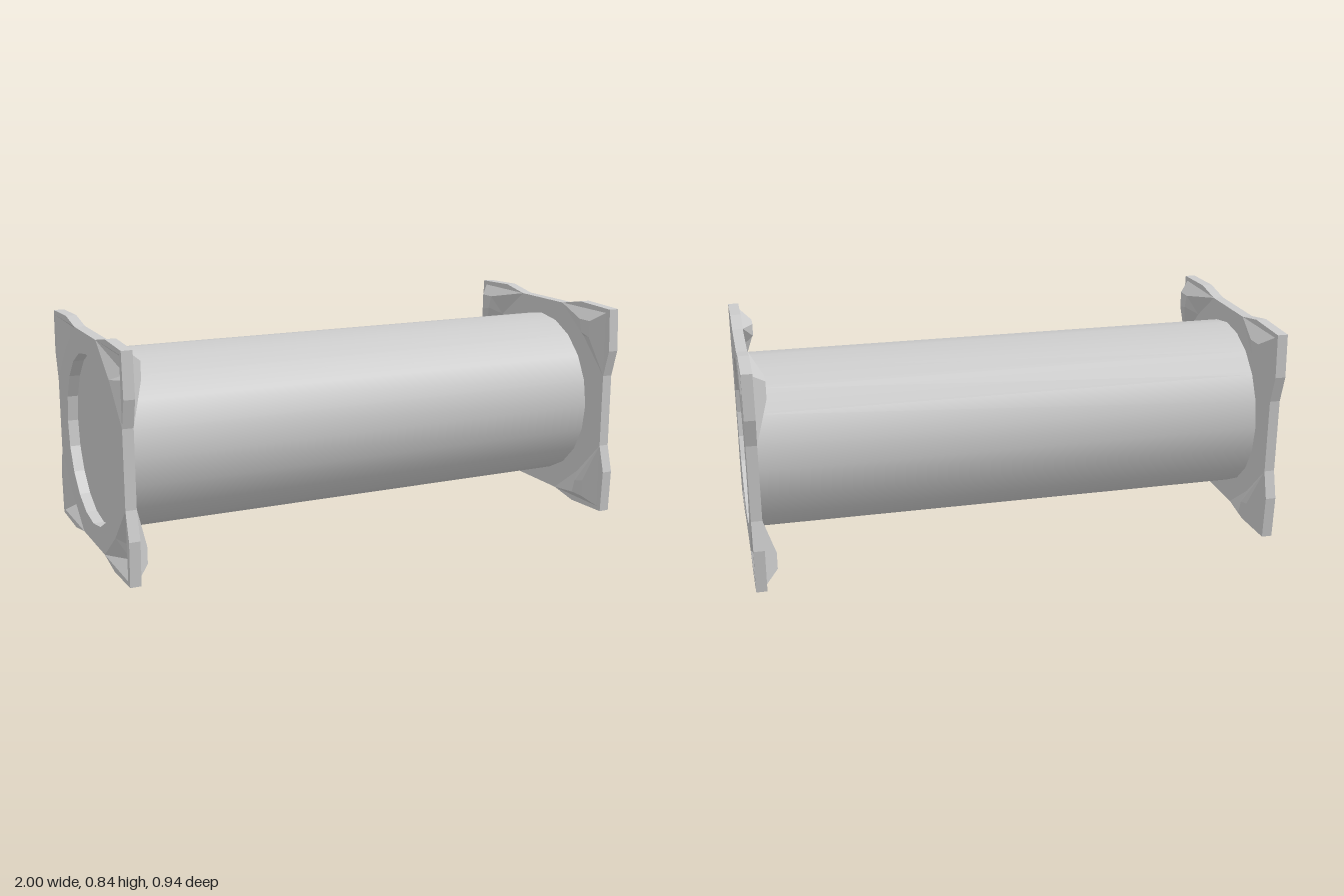
import * as THREE from 'three';
import { mergeGeometries } from 'three/addons/utils/BufferGeometryUtils.js';

const CENTER_Y = 0.4185, OUTER = 1, THICK = 0.04, DENT = 0.045;

// Corner layout, measured from the plate centre (one quadrant)
const A = [0.145, 0.396], K = [0.3, 0.283], B = [0.44, 0.143], C = [0.44, 0.396]; // pocket rim
const P = [0.395, 0.36], Q = [0.33, 0.36], R = [0.345, 0.307], S = [0.395, 0.295]; // pocket floor
const LIP = [[0.27, 0.4185], [0.462, 0.412], [0.47, 0.247]];                      // flared outline
const FLOOR = [P, Q, R, S];
const POCKET_FACES = [[A, Q, P, C], [C, P, S, B], [Q, R, S, P], [A, K, R, Q], [K, B, S, R]];
const QUADRANTS = [[1, 1], [-1, 1], [-1, -1], [1, -1]];

const toShape = (pts) => new THREE.Shape(pts.map(([x, y]) => new THREE.Vector2(x, y)));

function slab(shape) {
  const g = new THREE.ExtrudeGeometry(shape, { depth: THICK, bevelEnabled: false, curveSegments: 10 });
  return g.translate(0, 0, OUTER - THICK);
}

// Dented corner sheet: the outer side is a pocket, the inner side a matching bump
function pocketGeometry(sx, sy) {
  const pos = [];
  for (const [z, facing] of [[OUTER, 1], [OUTER - THICK, -1]]) {
    for (const face of POCKET_FACES) {
      const v = face.map((p) => [p[0] * sx, p[1] * sy, z - (FLOOR.includes(p) ? DENT : 0)]);
      if (sx * sy * facing < 0) v.reverse();
      pos.push(...v[0], ...v[1], ...v[2], ...v[0], ...v[2], ...v[3]);
    }
  }
  const g = new THREE.BufferGeometry();
  g.setAttribute('position', new THREE.Float32BufferAttribute(pos, 3));
  g.computeVertexNormals();
  return g;
}

function createEnd(material) {
  const end = new THREE.Group();
  const add = (name, geometry) => {
    const mesh = new THREE.Mesh(geometry, material);
    mesh.name = name;
    end.add(mesh);
  };

  // Flat middle of the plate with the round opening
  const outline = [];
  for (const [sx, sy] of QUADRANTS) {
    const pts = [B, K, A].map(([x, y]) => [x * sx, y * sy]);
    outline.push(...(sx * sy > 0 ? pts : pts.reverse()));
  }
  const middle = toShape(outline);
  middle.holes.push(new THREE.Path().absarc(0, 0, 0.32, 0, Math.PI * 2, true));
  add('endPlate', slab(middle));

  // Flared lips and dented pockets at the four corners
  const lips = QUADRANTS.map(([sx, sy]) =>
    slab(toShape([A, ...LIP, B, C].map(([x, y]) => [x * sx, y * sy]))));
  add('cornerLips', mergeGeometries(lips));
  add('cornerPockets', mergeGeometries(QUADRANTS.map(([sx, sy]) => pocketGeometry(sx, sy))));
  return end;
}

export function createModel() {
  const model = new THREE.Group();
  model.name = 'spool';
  const material = new THREE.MeshStandardMaterial({ color: 0xcccccc });

  // Smooth barrel; its caps form the floors of the round recesses
  const length = 2 * (OUTER - THICK);
  const barrel = new THREE.Mesh(
    new THREE.CylinderGeometry(0.333, 0.333, length, 20).rotateZ(Math.PI / 2), material);
  barrel.name = 'barrel';
  barrel.position.y = CENTER_Y;
  model.add(barrel);

  // A flange at each end
  for (const side of [1, -1]) {
    const end = createEnd(material);
    end.name = side > 0 ? 'leftFlange' : 'rightFlange';
    end.rotation.y = side * Math.PI / 2;
    end.position.y = CENTER_Y;
    model.add(end);
  }
  return model;
}
